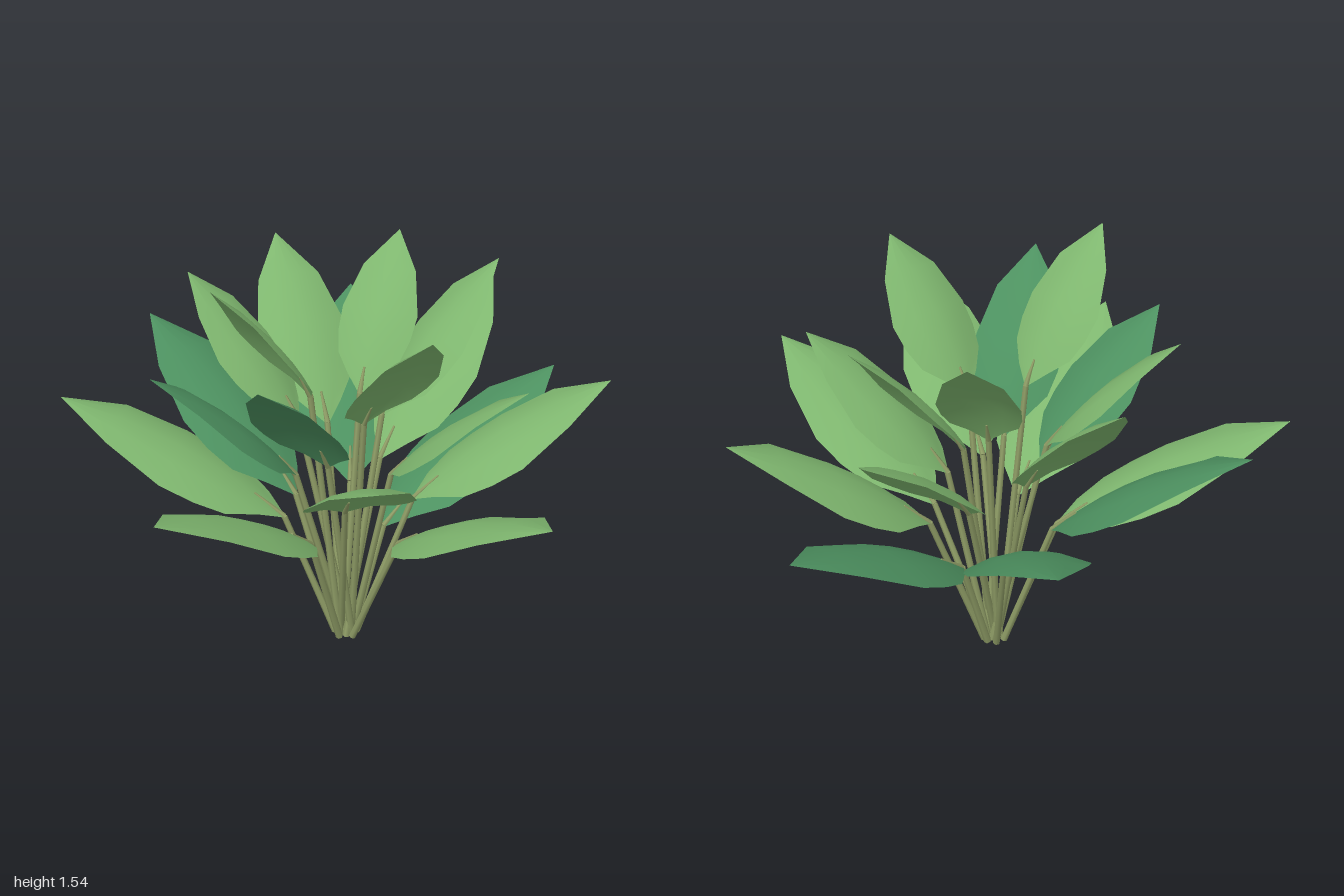
import * as THREE from 'three';

const lightLeaf = new THREE.MeshStandardMaterial({ name: 'light leaf green', color: 0x7fb76f, side: THREE.DoubleSide });
const darkLeaf = new THREE.MeshStandardMaterial({ name: 'deep leaf green', color: 0x4d9160, side: THREE.DoubleSide });
const stalkGreen = new THREE.MeshStandardMaterial({ name: 'stalk olive', color: 0x8f9d66 });

const L = lightLeaf, D = darkLeaf;
const CROWN = new THREE.Vector3(-0.02, 0.01, -0.06);
const LOW_TIER = 7; // number of outermost leaves, listed first

// Each leaf: blade base, tip, full width, colour
const LEAVES = [
  // low tier
  [[0.15, 0.52, -0.25], [0.65, 0.97, -0.89], 0.42, D],
  [[-0.09, 0.54, -0.27], [-0.23, 1.05, -1.0], 0.40, D],
  [[-0.18, 0.50, -0.22], [-0.73, 0.92, -0.83], 0.42, L],
  [[-0.23, 0.51, 0.01], [-1.0, 0.96, 0.21], 0.42, L],
  [[0.02, 0.51, 0.20], [0.01, 0.94, 0.99], 0.42, L],
  [[0.20, 0.57, 0.06], [0.81, 1.01, 0.43], 0.42, L],
  [[0.16, 0.41, -0.06], [0.99, 0.83, -0.05], 0.40, D],
  // middle tier
  [[-0.16, 0.67, 0.12], [-0.48, 1.12, 0.71], 0.38, L],
  [[0.08, 0.72, 0.08], [0.27, 1.19, 0.58], 0.37, L],
  [[0.18, 0.67, -0.11], [0.84, 1.20, -0.25], 0.37, L],
  [[-0.19, 0.72, -0.13], [-0.70, 1.21, -0.26], 0.35, D],
  [[-0.15, 0.80, 0.01], [-0.61, 1.33, 0.25], 0.33, D],
  [[0.06, 0.79, -0.27], [0.22, 1.33, -0.80], 0.34, L],
  // upper tier
  [[-0.10, 0.87, -0.23], [-0.27, 1.35, -0.66], 0.31, L],
  [[0.14, 0.89, -0.05], [0.60, 1.41, 0.04], 0.32, L],
  [[0.11, 0.95, -0.14], [0.46, 1.43, -0.35], 0.29, L],
  [[-0.06, 0.98, 0.10], [-0.11, 1.46, 0.52], 0.33, L],
  [[-0.15, 1.04, -0.09], [-0.54, 1.54, -0.11], 0.31, L],
];

// Blade outline: [position along midrib, share of full width]
const OUTLINE = [[0, 0.04], [0.1, 0.42], [0.22, 0.82], [0.35, 0.96], [0.5, 1], [0.76, 0.7], [1, 0.005]];
const ACROSS = [-1, -0.5, 0, 0.5, 1];

// Sideways and upward axes of a blade, with a function for its arched midrib
function bladeFrame(base, tip) {
  const dir = tip.clone().sub(base);
  const side = new THREE.Vector3(0, 1, 0).cross(dir).normalize();
  const normal = dir.clone().cross(side).normalize();
  const midrib = t => base.clone().addScaledVector(dir, t)
    .addScaledVector(normal, 4 * t * (1 - t) * dir.length() * 0.062);
  return { side, normal, midrib };
}

// Arched blade with drooping sides, lofted from its cross-sections
function bladeGeometry({ side, normal, midrib }, width) {
  const positions = [], index = [], n = ACROSS.length;
  OUTLINE.forEach(([t, w], i) => {
    const half = (w * width) / 2;
    for (const s of ACROSS) {
      const p = midrib(t).addScaledVector(side, s * half)
        .addScaledVector(normal, -0.28 * s * s * half * w);
      positions.push(p.x, p.y, p.z);
    }
    if (i === OUTLINE.length - 1) return;
    for (let j = 0; j < n - 1; j++) {
      const a = i * n + j, b = a + n;
      index.push(a, b, a + 1, b, b + 1, a + 1);
    }
  });
  const geometry = new THREE.BufferGeometry();
  geometry.setAttribute('position', new THREE.Float32BufferAttribute(positions, 3));
  geometry.setIndex(index);
  geometry.computeVertexNormals();
  return geometry;
}

// Straight tapered rod between two points
function rod(from, to, rFrom, rTo) {
  const axis = to.clone().sub(from);
  const mesh = new THREE.Mesh(new THREE.CylinderGeometry(rTo, rFrom, axis.length(), 6), stalkGreen);
  mesh.position.copy(from).add(to).multiplyScalar(0.5);
  mesh.quaternion.setFromUnitVectors(new THREE.Vector3(0, 1, 0), axis.normalize());
  return mesh;
}

export function createModel() {
  const plant = new THREE.Group();
  plant.name = 'leafyPlant';
  LEAVES.forEach(([b, t, width, material], i) => {
    const base = new THREE.Vector3(...b), tip = new THREE.Vector3(...t);
    const frame = bladeFrame(base, tip);
    const leaf = new THREE.Group();
    leaf.name = 'leaf';

    const blade = new THREE.Mesh(bladeGeometry(frame, width), material);
    blade.name = 'blade';

    // Outer stalks leave the rim of the crown, inner ones are scattered and cross
    const out = tip.clone().sub(CROWN);
    const outer = i < LOW_TIER;
    const angle = outer ? Math.atan2(out.z, out.x) : i * 2.4;
    const radius = outer ? 0.04 : 0.012 + 0.008 * (i % 3);
    const root = CROWN.clone().add(new THREE.Vector3(Math.cos(angle), 0, Math.sin(angle)).multiplyScalar(radius));
    const stalk = rod(root, base, 0.014, 0.011);
    stalk.name = 'stalk';

    // Short midrib running into the blade
    const rib = rod(base, frame.midrib(0.15), 0.011, 0.004);
    rib.name = 'midrib';

    leaf.add(blade, stalk, rib);
    plant.add(leaf);
  });
  return plant;
}
